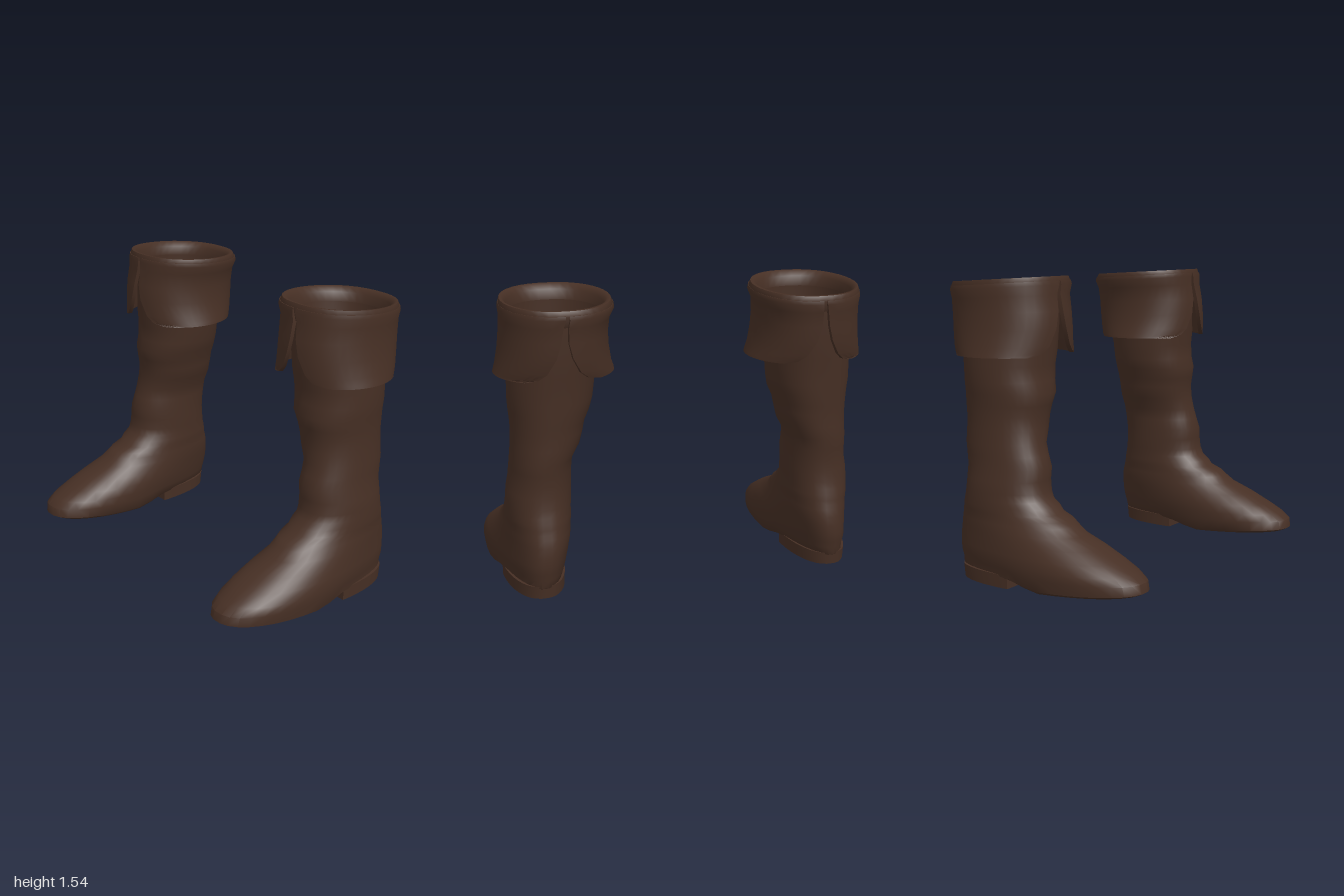
import * as THREE from 'three';
import { toCreasedNormals } from 'three/addons/utils/BufferGeometryUtils.js';

const leather = new THREE.MeshStandardMaterial({ color: 0x462f24, side: THREE.DoubleSide });
leather.name = 'dark brown leather';

const N = 36;
const clamp = THREE.MathUtils.clamp;

// Cross-section rows: y, back z, front z, centre x, half width (front centre x, front half width)
const FOOT = [
  [0, -0.48, 0.575, 0.79, 0.14, 0.785, 0.205],
  [0.015, -0.49, 0.6, 0.79, 0.155, 0.79, 0.222],
  [0.08, -0.495, 0.592, 0.785, 0.165, 0.792, 0.23],
  [0.13, -0.505, 0.545, 0.785, 0.17, 0.79, 0.23],
  [0.18, -0.51, 0.46, 0.78, 0.17, 0.785, 0.22],
  [0.23, -0.51, 0.36, 0.775, 0.17, 0.782, 0.2],
  [0.28, -0.505, 0.235, 0.77, 0.17, 0.78, 0.185],
  [0.32, -0.497, 0.18, 0.77, 0.17, 0.775, 0.175],
  [0.345, -0.49, 0.15, 0.77, 0.17, 0.772, 0.168],
  [0.37, -0.485, 0.085, 0.77, 0.17],
];
const SHAFT = [
  [0.4, -0.48, 0.06, 0.77, 0.17],
  [0.43, -0.472, 0.02, 0.77, 0.167],
  [0.47, -0.465, 0.003, 0.768, 0.168],
  [0.53, -0.46, -0.003, 0.765, 0.165],
  [0.59, -0.46, 0, 0.758, 0.16],
  [0.65, -0.467, -0.02, 0.756, 0.158],
  [0.71, -0.475, -0.037, 0.752, 0.158],
  [0.78, -0.478, -0.045, 0.73, 0.175],
  [0.85, -0.48, -0.046, 0.72, 0.184],
  [0.9, -0.485, -0.036, 0.716, 0.19],
  [0.96, -0.49, -0.025, 0.705, 0.207],
  [1.02, -0.495, -0.04, 0.7, 0.217],
  [1.1, -0.5, -0.042, 0.695, 0.221],
  [1.17, -0.51, -0.032, 0.69, 0.226],
  [1.3, -0.52, -0.03, 0.68, 0.235],
  [1.45, -0.53, -0.035, 0.668, 0.238],
];
// The rim rolls outward and back down under the cuff flaps
const RIM = [
  [1.45, -0.53, -0.035, 0.668, 0.238],
  [1.5, -0.535, -0.03, 0.665, 0.242],
  [1.527, -0.555, -0.01, 0.664, 0.262],
  [1.527, -0.572, 0.005, 0.662, 0.276],
  [1.5, -0.585, 0.015, 0.66, 0.285],
  [1.44, -0.56, 0.005, 0.668, 0.26],
];
// Cuff rows, bottom to top; the last value is the half angle of the slit
const CUFF = [
  [1.15, -0.53, 0.03, 0.672, 0.307, 0.6],
  [1.165, -0.537, 0.032, 0.672, 0.303, 0.37],
  [1.2, -0.55, 0.036, 0.674, 0.292, 0.24],
  [1.28, -0.565, 0.04, 0.674, 0.278, 0.11],
  [1.36, -0.572, 0.035, 0.673, 0.272, 0.05],
  [1.44, -0.578, 0.02, 0.668, 0.275, 0.03],
  [1.485, -0.59, 0.022, 0.66, 0.289, 0.02],
  [1.505, -0.586, 0.018, 0.66, 0.285, 0.02],
];

// Point on a rounded outline; angle 0 is the front and rises toward +x
function outline(row, angle, inset = 0) {
  const [y, zb, zf, cB, wB, cF = cB, wF = wB] = row;
  const t = Math.cos(angle), s = Math.sin(angle);
  const k = THREE.MathUtils.smoothstep(t, -1, 1);
  const x = cB + (cF - cB) * k + (wB + (wF - wB) * k - inset) * Math.sign(s) * Math.abs(s) ** 0.86;
  return [x, y, (zb + zf) / 2 + ((zf - zb) / 2 - inset) * t];
}

// The top of the boot leans slightly toward the back
function lean([x, y, z]) {
  return [x, y + 0.06 * (z + 0.28) * clamp((y - 1.1) / 0.4, 0, 1), z];
}

// Sole profile: raised arch, low ball, toe spring
function soleHeight(z) {
  if (z < -0.1) return 0.048;
  if (z < 0.07) return 0.048 - (0.038 * (z + 0.1)) / 0.17;
  return 0.01 + (0.032 * (z - 0.07)) / 0.53;
}

const ring = (row) => Array.from({ length: N }, (_, i) => {
  const [x, y, z] = lean(outline(row, ((i + 0.5) / N) * Math.PI * 2));
  return [x, y + soleHeight(z) * clamp(1 - y / 0.15, 0, 1), z];
});

// Skin over closed rings, optionally closed at the first and last ring
function loft(rings, side, { walls = true, bottom = false, top = false, crease = 0.75 } = {}) {
  const n = rings[0].length, idx = [];
  const quad = (a, b, c, d) => (side > 0 ? idx.push(a, b, c, a, c, d) : idx.push(a, c, b, a, d, c));
  if (walls) {
    for (let j = 0; j < rings.length - 1; j++) {
      for (let i = 0; i < n; i++) {
        const k = (i + 1) % n;
        quad(j * n + i, j * n + k, (j + 1) * n + k, (j + 1) * n + i);
      }
    }
  }
  const last = (rings.length - 1) * n;
  for (let i = 0; i < n / 2 - 1; i++) {
    if (bottom) quad(i, n - 1 - i, n - 2 - i, i + 1);
    if (top) quad(last + i, last + i + 1, last + n - 2 - i, last + n - 1 - i);
  }
  const g = new THREE.BufferGeometry();
  const pos = rings.flat().flatMap(([x, y, z]) => [x * side, y, z]);
  g.setAttribute('position', new THREE.Float32BufferAttribute(pos, 3));
  g.setIndex(idx);
  return toCreasedNormals(g, crease);
}

// One thick cuff flap running from the front slit (start 0) or back slit (start PI)
function flapRings(start) {
  const n = 20;
  return CUFF.map((r) => {
    const row = r.slice(0, 5), gap = r[5];
    const point = (i, inset) =>
      lean(outline(row, start + gap + (Math.PI - 2 * gap) * (i / (n - 1)), inset));
    const outer = Array.from({ length: n }, (_, i) => point(i, 0));
    const inner = Array.from({ length: n }, (_, i) => point(n - 1 - i, 0.022));
    return [...outer, ...inner];
  });
}

function createBoot(side) {
  const boot = new THREE.Group();
  const add = (name, geometry) => {
    const mesh = new THREE.Mesh(geometry, leather);
    mesh.name = name;
    boot.add(mesh);
  };

  // Foot and shaft in one skin
  const body = [...FOOT, ...SHAFT].map(ring);
  add('footAndShaft', loft(body, side));
  add('sole', loft([body[0]], side, { walls: false, bottom: true }));
  add('rolledRim', loft(RIM.map(ring), side, { crease: 1 }));

  // Heel block with a flat front
  const heel = [[0, -0.48, 0.26, 0.79, 0.158], [0.068, -0.488, 0.268, 0.79, 0.16]].map((row) =>
    Array.from({ length: N }, (_, i) => {
      const [x, y, z] = outline(row, ((i + 0.5) / N) * Math.PI * 2);
      return [x, y, Math.min(z, -0.11)];
    }));
  add('heel', loft(heel, side, { bottom: true, top: true }));

  // Folded cuff, split at front and back
  add('outerCuffFlap', loft(flapRings(0), side, { bottom: true, top: true }));
  add('innerCuffFlap', loft(flapRings(Math.PI), side, { bottom: true, top: true }));
  return boot;
}

export function createModel() {
  const model = new THREE.Group();
  model.name = 'cuffedBoots';
  for (const side of [1, -1]) {
    const boot = createBoot(side);
    boot.name = side > 0 ? 'leftBoot' : 'rightBoot';
    model.add(boot);
  }
  return model;
}
